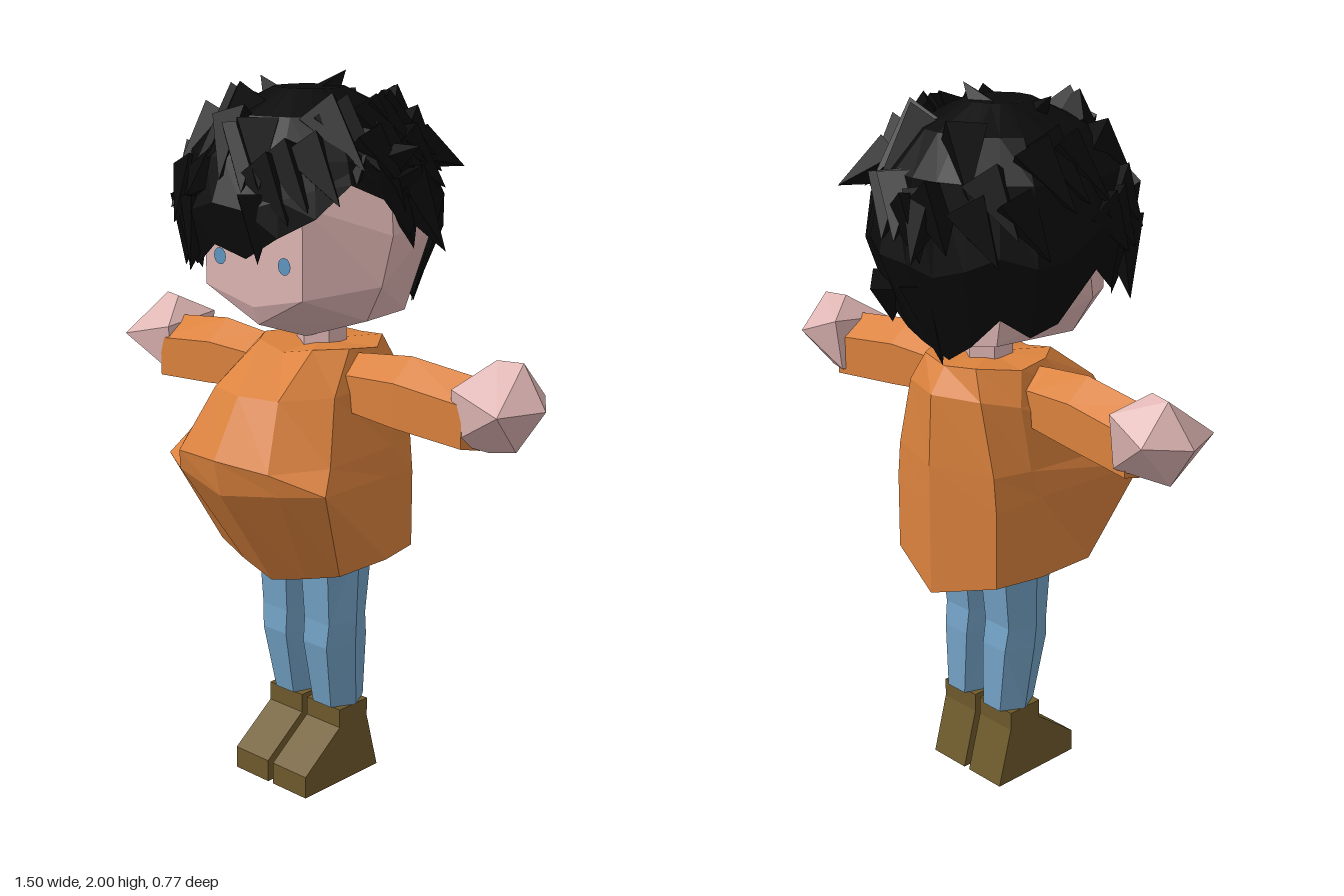
import * as THREE from 'three';
import { ConvexGeometry } from 'three/addons/geometries/ConvexGeometry.js';

const mat = (name, color, double) => {
  const m = new THREE.MeshStandardMaterial({ color });
  m.name = name;
  if (double) m.side = THREE.DoubleSide;
  return m;
};

// Faceted surface through closed rings of points, facing outwards
function loft(rings, capStart = true, capEnd = true) {
  const tris = [], n = rings[0].length;
  for (let i = 0; i < rings.length - 1; i++) {
    for (let j = 0; j < n; j++) {
      const k = (j + 1) % n, a = rings[i], b = rings[i + 1];
      tris.push([a[j], b[j], b[k]], [a[j], b[k], a[k]]);
    }
  }
  const mid = pts => [0, 1, 2].map(c => pts.reduce((s, p) => s + p[c], 0) / pts.length);
  const cap = (ring, flip) => {
    const m = mid(ring);
    ring.forEach((p, j) => {
      const q = ring[(j + 1) % n];
      tris.push(flip ? [m, q, p] : [m, p, q]);
    });
  };
  if (capStart) cap(rings[0], false);
  if (capEnd) cap(rings[rings.length - 1], true);
  const o = new THREE.Vector3(...mid(rings.flat()));
  const v = p => new THREE.Vector3(...p).sub(o);
  const volume = tris.reduce((s, [a, b, c]) => s + v(a).dot(v(b).cross(v(c))), 0);
  if (volume < 0) tris.forEach(t => t.reverse());
  const g = new THREE.BufferGeometry();
  g.setAttribute('position', new THREE.Float32BufferAttribute(tris.flat(2), 3));
  g.computeVertexNormals();
  return g;
}

const hull = pts => new ConvexGeometry(pts.map(p => new THREE.Vector3(...p)));

export function createModel() {
  const root = new THREE.Group();
  const skin = mat('skin', 0xdfb6b4), orange = mat('orange cloth', 0xdb823d);
  const denim = mat('blue cloth', 0x74a3c7), leather = mat('olive leather', 0x6e5a2b);
  const black = mat('black hair', 0x0a0a0a, true), blue = mat('eye blue', 0x5f97c2);
  const add = (name, geo, m) => {
    const mesh = new THREE.Mesh(geo, m);
    mesh.name = name;
    root.add(mesh);
    return mesh;
  };

  // Jacket: half cross-sections from front centre to back centre
  const jacket = [
    [[0, 1.26, .12], [.1, 1.28, .11], [.16, 1.28, .03], [.17, 1.27, -.07], [.1, 1.28, -.17], [0, 1.27, -.19]],
    [[0, 1.17, .29], [.12, 1.17, .26], [.2, 1.17, .13], [.2, 1.18, -.1], [.14, 1.2, -.19], [0, 1.2, -.24]],
    [[0, 1.01, .38], [.17, 1, .35], [.27, 1.01, .22], [.22, 1, -.08], [.19, 1, -.19], [0, 1, -.25]],
    [[0, .91, .36], [.19, .94, .33], [.3, .95, .27], [.23, .92, -.05], [.2, .9, -.19], [0, .9, -.25]],
    [[0, .62, .17], [.12, .65, .16], [.23, .68, .14], [.23, .68, -.05], [.2, .68, -.19], [0, .62, -.25]],
  ].map(h => [...h, ...h.slice(1, 5).reverse().map(([x, y, z]) => [-x, y, z])]);
  add('jacket', loft(jacket), orange);

  // Shoe side profile as [z, y]
  const sole = [[.18, 0], [.18, .065], [.04, .17], [.04, .225], [-.075, .225], [-.075, .17], [-.12, 0]];

  for (const s of [1, -1]) {
    const side = s > 0 ? 'left' : 'right';

    const shoe = new THREE.ExtrudeGeometry(
      new THREE.Shape(sole.map(([z, y]) => new THREE.Vector2(-z, y))), { depth: .13, bevelEnabled: false });
    shoe.rotateY(Math.PI / 2).translate(s > 0 ? .01 : -.14, 0, 0);
    add(side + 'Shoe', shoe, leather);

    // Trouser leg: y, inner x, outer x, front z, back z
    const leg = [[.225, .015, .145, .045, -.09], [.42, .01, .16, .08, -.085],
      [.49, .01, .165, .075, -.075], [.72, .005, .17, .09, -.1]].map(([y, a, b, f, k]) =>
      [[a + .025, y, f], [b - .035, y, f], [b, y, (f + k) / 2], [b - .035, y, k], [a + .025, y, k], [a, y, (f + k) / 2]]
        .map(p => [s * p[0], p[1], p[2]]));
    add(side + 'Leg', loft(leg), denim);

    // Sleeve: x, low y, high y, front z, back z
    const sleeve = [[.12, 1.1, 1.26, .07, -.07], [.2, 1.1, 1.27, .07, -.07],
      [.35, 1.085, 1.285, .07, -.08], [.57, 1.07, 1.26, .06, -.1]].map(([x, lo, hi, f, k]) => {
      const m = (f + k) / 2, d = (hi - lo) * .3;
      return [[x, hi, m], [x, hi - d, f], [x, lo + .02, f], [x, lo, m], [x, lo + .02, k], [x, hi - d, k]]
        .map(p => [s * p[0], p[1], p[2]]);
    });
    add(side + 'Sleeve', loft(sleeve), orange);

    add(side + 'Hand', hull([
      [.535, 1.24, .06], [.535, 1.1, .05], [.54, 1.26, -.13], [.54, 1.11, -.11], [.6, 1.31, -.04], [.67, 1.31, -.06],
      [.6, 1.07, -.02], [.67, 1.08, -.04], [.7, 1.2, .085], [.67, 1.21, -.155], [.75, 1.2, -.05],
    ].map(([x, y, z]) => [s * x, y, z])), skin);

    const eye = add(side + 'Eye', new THREE.CircleGeometry(.023, 12), blue);
    eye.position.set(s * .12, 1.523, .235);
  }

  // Neck and faceted head
  add('neck', new THREE.CylinderGeometry(.07, .07, .16, 6).toNonIndexed(), skin).position.set(0, 1.29, -.03);
  root.getObjectByName('neck').geometry.computeVertexNormals();
  const half = [[.24, 1.37, .05], [.3, 1.47, .06], [.31, 1.6, .03], [.18, 1.44, .23], [.18, 1.68, .23],
    [.27, 1.78, 0], [.18, 1.36, -.17], [.25, 1.6, -.2]];
  add('head', hull([...half, ...half.map(([x, y, z]) => [-x, y, z]),
    [0, 1.29, .03], [0, 1.35, .21], [0, 1.4, .23], [0, 1.87, 0], [0, 1.32, -.17]]), skin);

  // Hair shell: hairline height every 15 degrees, from the front towards the left
  const hairline = [1.58, 1.55, 1.61, 1.66, 1.74, 1.7, 1.6, 1.7, 1.58, 1.38, 1.43, 1.38,
    1.36, 1.32, 1.37, 1.45, 1.4, 1.43, 1.57, 1.5, 1.46, 1.53, 1.5, 1.52];
  let seed = 7;
  const rand = () => (seed = (seed * 16807) % 2147483647) / 2147483647;
  const onScalp = (a, y, k = 1) => {
    const t = (y - 1.62) / .35;
    const r = k * (y > 1.62 ? Math.sqrt(Math.max(0, 1 - t * t)) : 1 + .9 * (y - 1.62));
    return [-.015 + r * .37 * Math.sin(a), y, r * .355 * Math.cos(a)];
  };
  const step = Math.PI / 12;
  const shell = [1.958, 1.896, 1.795].map(y => hairline.map((h, i) => onScalp(i * step, y, .97 + rand() * .06)));
  for (const t of [.5, 1]) {
    shell.push(hairline.map((h, i) => onScalp(i * step, 1.795 + (h - 1.795) * t, .97 + rand() * .06)));
  }
  add('hairShell', loft(shell, true, false), black);

  // Pointed locks, each a four-sided cone from root to tip
  const locks = new THREE.Group();
  locks.name = 'hairLocks';
  root.add(locks);
  const lock = (from, to, r) => {
    const a = new THREE.Vector3(...from), d = new THREE.Vector3(...to).sub(a), len = d.length();
    const g = new THREE.ConeGeometry(r, len, 4).toNonIndexed();
    g.computeVertexNormals();
    g.translate(0, len / 2, 0);
    const m = new THREE.Mesh(g, black);
    m.name = 'hairLock';
    m.position.copy(a);
    m.quaternion.setFromUnitVectors(new THREE.Vector3(0, 1, 0), d.normalize());
    locks.add(m);
  };
  for (let i = 0; i < 34; i++) {
    const a = i * 2.4, y = 1.72 + .2 * rand();
    lock(onScalp(a, y, .88), onScalp(a + .25, y - .13, 1.04), .075);
  }
  [
    [[.29, 1.74, -.02], [.41, 1.56, -.06]], [[.24, 1.77, .02], [.37, 1.83, 0]],
    [[-.05, 1.75, -.28], [-.1, 1.6, -.39]], [[.18, 1.8, -.2], [.24, 1.74, -.34]],
    [[.2, 1.84, .04], [.31, 1.74, .17]], [[-.02, 1.9, -.03], [.05, 2, -.07]],
    [[-.27, 1.66, .18], [-.35, 1.46, .15]], [[-.12, 1.68, .29], [-.11, 1.5, .35]],
    [[.08, 1.7, .29], [.12, 1.54, .33]], [[-.02, 1.52, -.27], [-.06, 1.3, -.25]],
    [[.3, 1.76, .01], [.32, 1.56, -.04]], [[-.08, 1.88, .03], [-.18, 1.98, .02]],
    [[-.1, 1.75, .28], [-.08, 1.7, .385]], [[.12, 1.5, -.27], [.15, 1.37, -.24]],
  ].forEach(([a, b]) => lock(a, b, .07));

  return root;
}
